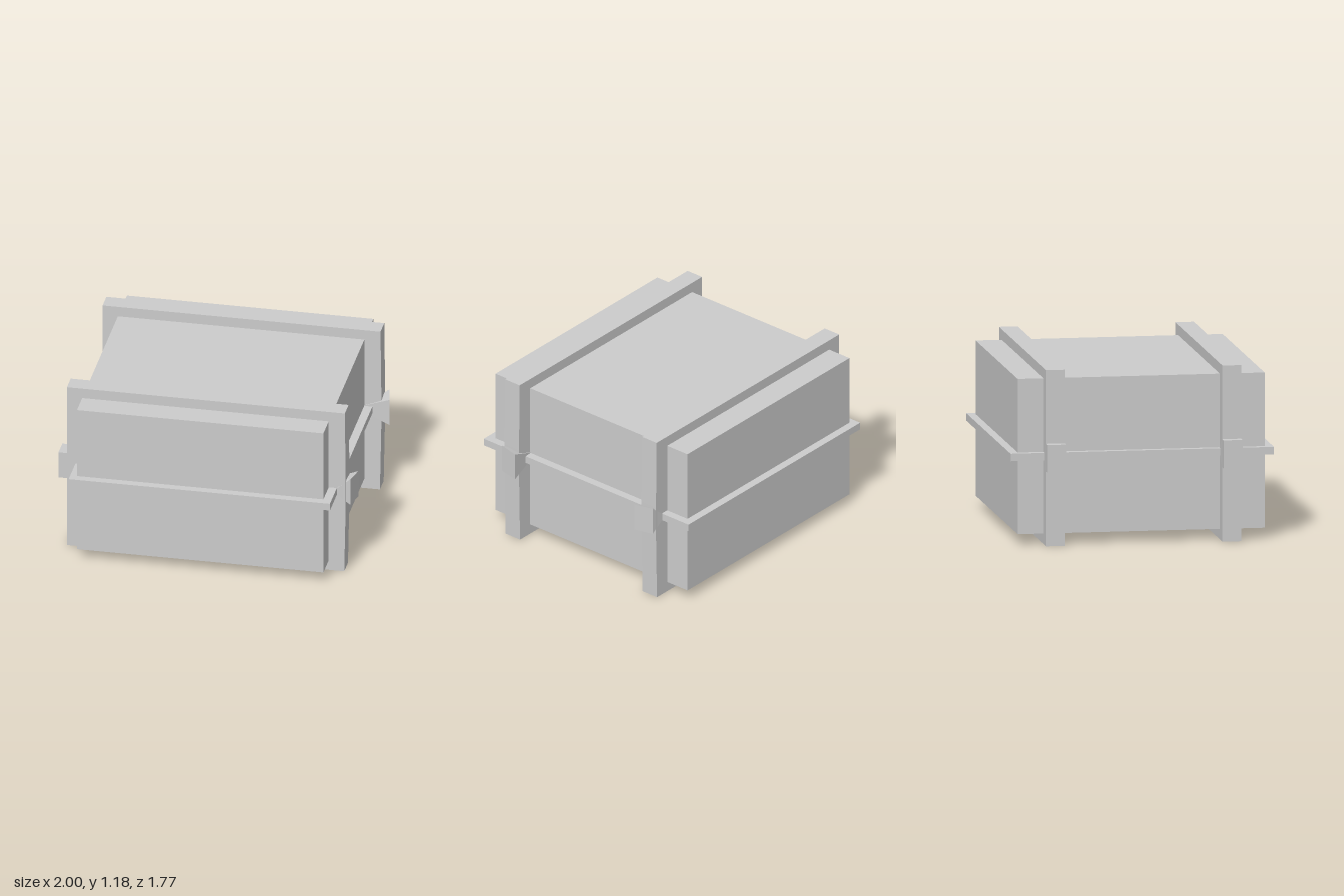
import * as THREE from 'three';
import { ConvexGeometry } from 'three/addons/geometries/ConvexGeometry.js';

const material = new THREE.MeshStandardMaterial({ color: 0xcccccc, flatShading: true });

export function createModel() {
  const group = new THREE.Group();

  const add = (name, geometry) => {
    const mesh = new THREE.Mesh(geometry, material);
    mesh.name = name;
    group.add(mesh);
    return mesh;
  };

  // Box given by its lower and upper corners
  const box = (name, [x0, y0, z0], [x1, y1, z1]) =>
    add(name, new THREE.BoxGeometry(x1 - x0, y1 - y0, z1 - z0))
      .position.set((x0 + x1) / 2, (y0 + y1) / 2, (z0 + z1) / 2);

  // Solid through upright edges, each [x, z, bottom, top]
  const solid = (name, edges) =>
    add(name, new ConvexGeometry(edges.flatMap(([x, z, y0, y1]) =>
      [new THREE.Vector3(x, y0, z), new THREE.Vector3(x, y1, z)])));

  // Crate body and the thin rim around its middle
  box('body', [-0.84, 0.07, -0.83], [0.825, 1.11, 0.83]);
  box('rim', [-0.885, 0.567, -0.885], [0.88, 0.617, 0.885]);

  // Band outline, bulging slightly at the clasp side
  const outline = new THREE.Shape([
    [-0.943, 0], [0.93, 0], [0.94, 0.5], [0.94, 0.69], [0.934, 1.18], [-0.943, 1.18],
  ].map(([x, y]) => new THREE.Vector2(x, y)));

  for (const [side, s] of [['front', 1], ['back', -1]]) {
    // Strap running around the body
    const band = new THREE.ExtrudeGeometry(outline, { depth: 0.125, bevelEnabled: false });
    add(side + 'Band', band).position.z = s > 0 ? 0.53 : -0.655;

    // Flared clasp on the left, growing from the rim to a slanted plate
    solid(side + 'LeftClasp', [
      [0.88, s * 0.658, 0.567, 0.617],
      [0.82, s * 0.527, 0.567, 0.617],
      [0.97, s * 0.652, 0.5, 0.69],
      [0.998, s * 0.515, 0.497, 0.685],
    ]);

    // Block clasp on the right, with a taper back to the rim
    box(side + 'RightClasp', [-1, 0.5, s > 0 ? 0.528 : -0.655], [-0.94, 0.687, s > 0 ? 0.655 : -0.528]);
    solid(side + 'RightClaspTaper', [
      [-0.885, s * 0.657, 0.567, 0.617],
      [-0.85, s * 0.525, 0.567, 0.617],
      [-0.945, s * 0.656, 0.5, 0.687],
      [-0.945, s * 0.528, 0.5, 0.687],
    ]);
  }

  return group;
}
